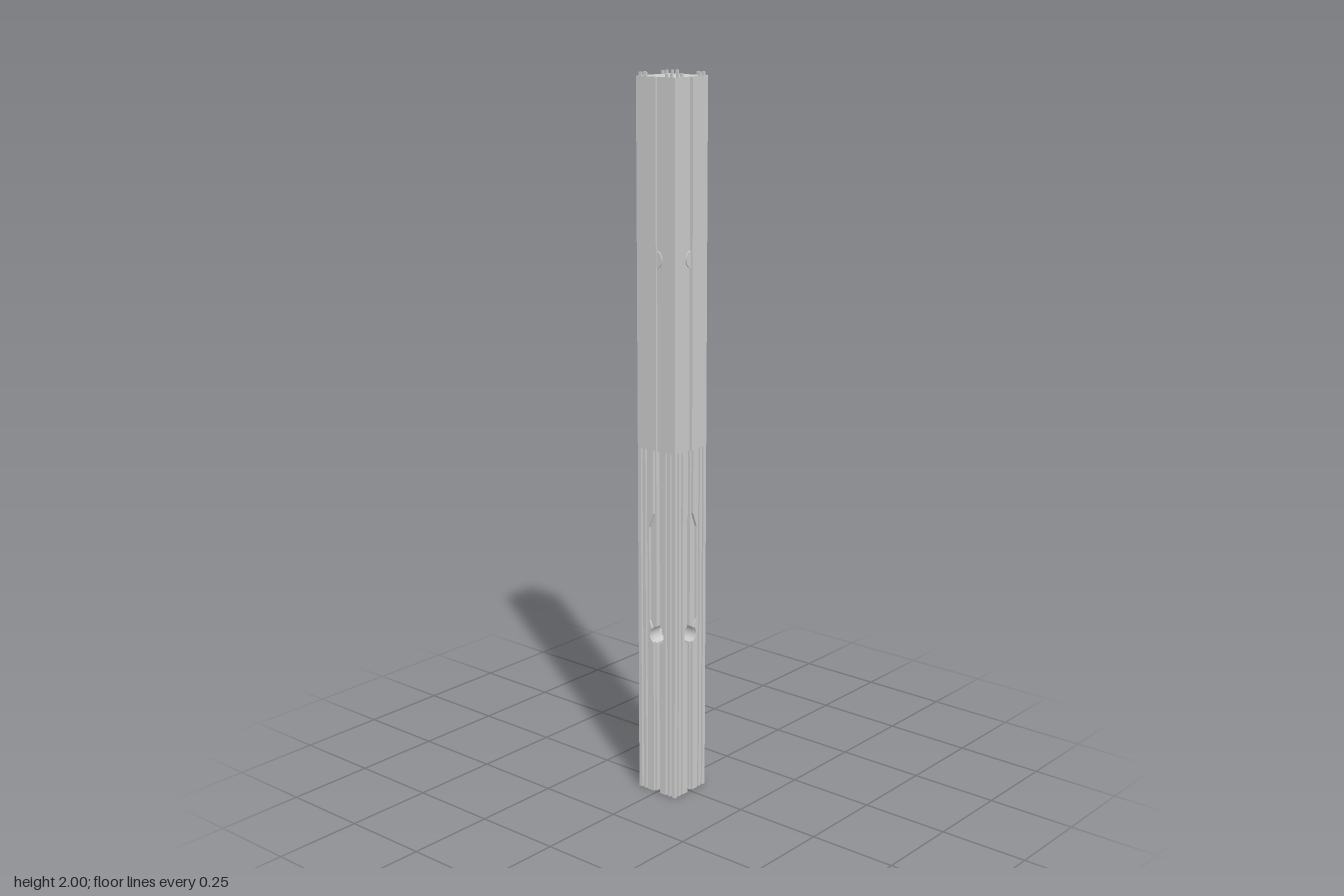
import * as THREE from 'three';

const S = 0.066;      // half width of the post
const SLOT = 0.006;   // half width of the cross slot
const DEPTH = 0.007;  // depth of grooves and teeth
const HOLE_Y = 0.47, HOLE_R = 0.024;
const GROOVES = [0.036, 0.052];
const HALF = 0.0032;  // half width of a groove

const material = new THREE.MeshStandardMaterial({ color: 0xcccccc, flatShading: true });

function add(parent, geometry, name, x = 0, y = 0, z = 0) {
  const mesh = new THREE.Mesh(geometry, material);
  mesh.name = name;
  mesh.position.set(x, y, z);
  parent.add(mesh);
  return mesh;
}

// Half width of the slot, opened out where the round holes cross it
function slotAt(y) {
  const d = HOLE_R ** 2 - (y - HOLE_Y) ** 2;
  return Math.max(SLOT, d > 0 ? Math.sqrt(d) : 0);
}

// Half width of the shallow face channel, wider above the holes
function channelAt(y) {
  const ramp = Math.min((y - 0.47) / 0.04, (0.82 - y) / 0.04);
  const wide = 0.011 + 0.015 * THREE.MathUtils.clamp(ramp, 0, 1);
  return Math.max(wide, slotAt(y) + 0.001);
}

// Cross-section of one grooved corner leg
function legSection(y) {
  const w = slotAt(y), p = channelAt(y);
  const side = [[w, S - DEPTH], [p, S - DEPTH], [p, S]];
  for (const g of GROOVES) {
    side.push([g - HALF, S], [g - HALF, S - DEPTH], [g + HALF, S - DEPTH], [g + HALF, S]);
  }
  const mirrored = side.map(([a, b]) => [b, a]).reverse();
  return [[w, w], ...side, [S, S], ...mirrored];
}

// Loft the leg through its cross-sections
function legGeometry() {
  const levels = [0];
  for (let i = 0; i <= 20; i++) levels.push(HOLE_Y - HOLE_R * Math.cos((i / 20) * Math.PI));
  levels.push(0.51, 0.78, 0.82, 1);
  levels.sort((a, b) => a - b);
  const rings = levels.map((y) => legSection(y).map(([x, z]) => [x, y, z]));
  const pos = [];
  const n = rings[0].length;
  for (let k = 0; k < rings.length - 1; k++) {
    for (let i = 0; i < n; i++) {
      const j = (i + 1) % n;
      const a = rings[k][i], b = rings[k][j], c = rings[k + 1][j], d = rings[k + 1][i];
      pos.push(...a, ...b, ...c, ...a, ...c, ...d);
    }
  }
  // End caps, bottom facing down and top facing up
  for (const [ring, up] of [[rings[0], false], [rings[rings.length - 1], true]]) {
    const outline = ring.map(([x, , z]) => new THREE.Vector2(x, z));
    for (const [a, b, c] of THREE.ShapeUtils.triangulateShape(outline, [])) {
      const area = THREE.ShapeUtils.area([outline[a], outline[b], outline[c]]);
      const order = (area < 0) === up ? [a, b, c] : [a, c, b];
      for (const i of order) pos.push(...ring[i]);
    }
  }
  const geometry = new THREE.BufferGeometry();
  geometry.setAttribute('position', new THREE.Float32BufferAttribute(pos, 3));
  geometry.computeVertexNormals();
  return geometry;
}

export function createModel() {
  const group = new THREE.Group();
  group.name = 'interlockingPost';

  // Four grooved legs separated by the cross slot
  const leg = legGeometry();
  for (let i = 0; i < 4; i++) {
    add(group, leg, 'groovedLeg').rotation.y = (i * Math.PI) / 2;
  }

  // Solid upper half
  add(group, new THREE.BoxGeometry(2 * S, 0.99, 2 * S), 'upperBody', 0, 1.495, 0);

  // Crossed ribs standing proud of the four faces
  add(group, new THREE.BoxGeometry(0.152, 0.988, 0.012), 'sideRib', 0, 1.495, 0);
  add(group, new THREE.BoxGeometry(0.01, 0.988, 0.143), 'frontRib', 0, 1.495, 0);

  // Round locking studs on the ribs
  const stud = new THREE.CylinderGeometry(HOLE_R, HOLE_R, 0.139, 32);
  add(group, stud, 'sideStud', 0, 1.52, 0).rotation.z = Math.PI / 2;
  add(group, stud, 'frontStud', 0, 1.52, 0).rotation.x = Math.PI / 2;

  // Small teeth around the top that key into the grooves
  const tooth = new THREE.BoxGeometry(2 * HALF, 0.012, 2 * HALF);
  const edge = S - HALF;
  for (const g of GROOVES) {
    for (const sx of [-1, 1]) {
      for (const sz of [-1, 1]) {
        add(group, tooth, 'topTooth', sx * g, 1.994, sz * edge);
        add(group, tooth, 'topTooth', sx * edge, 1.994, sz * g);
      }
    }
  }
  return group;
}
